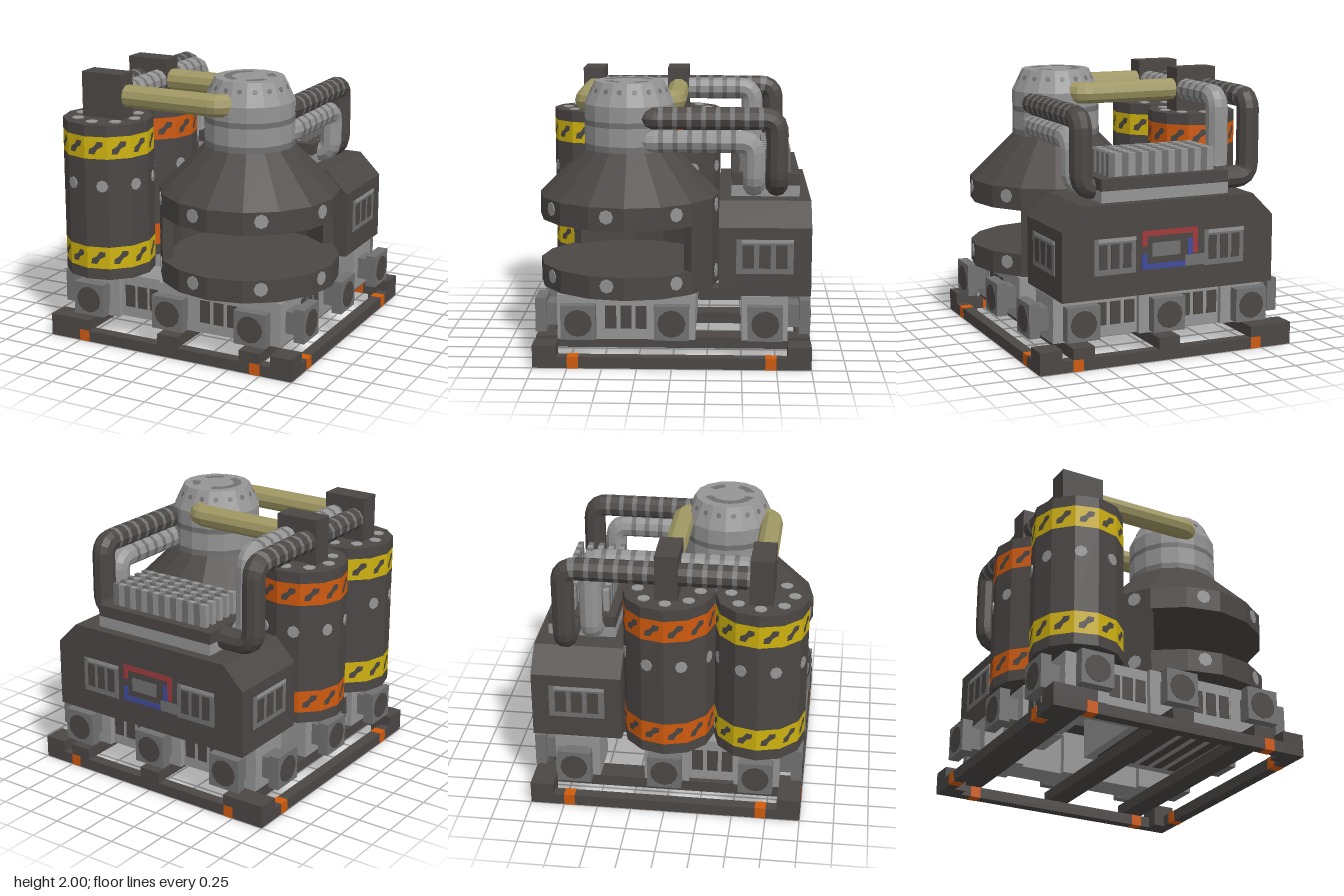
import * as THREE from 'three';

const mat = (name, color, side = THREE.FrontSide) => {
  const m = new THREE.MeshStandardMaterial({ color, side, flatShading: true });
  m.name = name;
  return m;
};

export function createModel() {
  const model = new THREE.Group();
  const dark = mat('dark iron', 0x4b4745), light = mat('light steel', 0x959595), mid = mat('mid steel', 0x717171);
  const yellow = mat('hazard yellow', 0xcfb20f), orange = mat('hazard orange', 0xd05a0e);
  const olive = mat('olive pipe', 0x9f9763), red = mat('red paint', 0xa03a3c), blue = mat('blue paint', 0x414c9c);

  const add = (name, geo, material, x = 0, y = 0, z = 0, parent = model) => {
    const m = new THREE.Mesh(geo, material);
    m.name = name;
    m.position.set(x, y, z);
    parent.add(m);
    return m;
  };
  // box given by its min and max on each axis
  const box = (name, material, x0, x1, y0, y1, z0, z1, parent = model) =>
    add(name, new THREE.BoxGeometry(x1 - x0, y1 - y0, z1 - z0), material,
      (x0 + x1) / 2, (y0 + y1) / 2, (z0 + z1) / 2, parent);
  const group = (name, x = 0, y = 0, z = 0, ry = 0, parent = model) => {
    const g = new THREE.Group();
    g.name = name;
    g.position.set(x, y, z);
    g.rotation.y = ry;
    parent.add(g);
    return g;
  };
  const drum = (name, material, r0, r1, y0, y1, sides, parent) =>
    add(name, new THREE.CylinderGeometry(r1, r0, y1 - y0, sides), material, 0, (y0 + y1) / 2, 0, parent);
  const disc = (r, t = 0.012, n = 8) => new THREE.CylinderGeometry(r, r, t, n).rotateX(Math.PI / 2);
  // distance from the axis to a polygon's side at angle a
  const sideDistance = (r, n, a) => {
    const step = 2 * Math.PI / n, off = ((a % step) + step) % step - step / 2;
    return r * Math.cos(step / 2) / Math.cos(off);
  };
  const bolts = (parent, r, n, y, first, size) => {
    for (let i = 0; i < 8; i++) {
      const a = first + i * Math.PI / 4, d = sideDistance(r, n, a);
      add('bolt', disc(size), light, d * Math.sin(a), y, d * Math.cos(a), parent).rotation.y = a;
    }
  };

  // Base frame: low perimeter rails, tall corners, cross beams, orange marks
  for (let i = 0; i < 4; i++) {
    const side = group('frameSide', 0, 0, 0, i * Math.PI / 2);
    box('rail', dark, -1, 0.917, 0, 0.083, 0.917, 1, side);
    box('corner', dark, 0.83, 1, 0, 0.167, 0.83, 1, side);
    for (const s of [-1, 1]) box('railMark', orange, s * 0.71 - 0.04, s * 0.71 + 0.04, -0.001, 0.085, 0.914, 1.002, side);
  }
  for (const x of [-0.75, 0, 0.667]) box('crossBeam', dark, x - 0.083, x + 0.083, 0.083, 0.167, -1, 1);

  // Pipe sockets, three on each side
  for (let i = 0; i < 4; i++) {
    const side = group('socketRow', 0, 0, 0, i * Math.PI / 2);
    for (const x of [-0.667, 0, 0.667]) {
      box('socketCube', light, x - 0.166, x + 0.166, 0.168, 0.498, 0.5, 0.832, side);
      box('socketNeck', mid, x - 0.083, x + 0.083, 0.25, 0.417, 0.83, 0.93, side);
      box('socketFlange', mid, x - 0.125, x + 0.125, 0.21, 0.46, 0.917, 0.997, side);
      add('socketHole', disc(0.1, 0.006, 12), dark, x, 0.333, 0.998, side);
    }
  }

  // Slotted plinths between the sockets
  const slots = (x0, x1, z, ry = 0) => {
    const g = group('slots', 0, 0, 0, ry);
    const n = Math.round((x1 - x0) / 0.115);
    for (let i = 0; i < n; i++) {
      const x = x0 + (i + 0.5) * (x1 - x0) / n;
      box('slot', dark, x - 0.04, x + 0.04, 0.25, 0.42, z - 0.003, z + 0.004, g);
    }
  };
  box('reactorPlinth', light, -0.166, 0.83, 0.17, 0.5, -0.166, 0.83);
  slots(0.17, 0.5, 0.832);
  slots(-0.5, -0.17, 0.832, Math.PI / 2);
  for (let i = 0; i < 7; i++) box('bottomSlot', dark, -0.1 + i * 0.12, -0.03 + i * 0.12, 0.165, 0.172, -0.08, 0.75);
  box('tankPlinth', light, -0.5, -0.166, 0.17, 0.5, 0.52, 0.79);
  slots(-0.48, -0.17, 0.792);
  box('tankPlinthSide', light, -0.79, -0.52, 0.17, 0.5, 0.166, 0.5);
  slots(0.17, 0.5, 0.792, -Math.PI / 2);
  box('backPlinth', light, -0.5, 0.5, 0.17, 0.5, -0.79, -0.55);
  slots(-0.5, -0.17, 0.792, Math.PI);
  slots(0.17, 0.5, 0.792, Math.PI);

  // Reactor: rings, open half wall, cone and capped neck
  const reactor = group('reactor', 0.333, 0, 0.333);
  drum('lowerRing', dark, 0.667, 0.667, 0.5, 0.667, 16, reactor);
  drum('upperRing', dark, 0.667, 0.667, 1, 1.167, 16, reactor);
  const arc = [...Array(9).keys()].map(i => Math.PI / 4 + i * Math.PI / 8);
  const ringPoint = r => a => new THREE.Vector2(r * Math.cos(a), r * Math.sin(a));
  const wall = new THREE.Shape([...arc.map(ringPoint(0.667)), ...arc.reverse().map(ringPoint(0.585))]);
  add('halfWall', new THREE.ExtrudeGeometry(wall, { depth: 0.335, bevelEnabled: false }).rotateX(-Math.PI / 2),
    dark, 0, 0.666, 0, reactor);
  drum('cone', dark, 0.667, 0.333, 1.167, 1.5, 16, reactor);
  for (const y of [0.6, 1.1]) bolts(reactor, 0.667, 16, y, Math.PI * 3 / 16, 0.052);
  [[mid, 1.5, 1.545], [light, 1.545, 1.68], [mid, 1.68, 1.72], [light, 1.72, 1.833]].forEach(
    ([m, y0, y1]) => drum('neckBand', m, 0.333, 0.333, y0, y1, 16, reactor));
  drum('cap', light, 0.333, 0.255, 1.833, 1.997, 16, reactor);
  for (let i = 0; i < 16; i++) {
    const a = (i + 0.5) * Math.PI / 8;
    const rivet = add('capRivet', disc(0.02, 0.008, 6), mid, 0.278 * Math.sin(a), 1.935, 0.278 * Math.cos(a), reactor);
    rivet.rotation.set(-0.43, a, 0, 'YXZ');
  }
  for (const [start, length] of [[1.9, 2.6], [5, 0.9], [0.3, 0.7]])
    add('capPatch', new THREE.RingGeometry(0.13, 0.19, 10, 1, start, length).rotateX(-Math.PI / 2), mid, 0, 1.999, 0, reactor);

  // Tanks with hazard bands, bolts and top blocks
  const stripe = new THREE.ShapeGeometry(new THREE.Shape([
    [-0.055, -0.045], [-0.012, -0.048], [0.012, -0.008], [0.052, 0.012], [0.055, 0.045],
    [0.012, 0.048], [-0.012, 0.012], [-0.05, -0.008]].map(p => new THREE.Vector2(...p))));
  for (const [z, paint] of [[0.667, yellow], [0, orange]]) {
    const tank = group('tank', -0.667, 0, z);
    let y = 0.5;
    [[dark, 0.583], [paint, 0.75], [dark, 1.417], [paint, 1.583], [dark, 1.667]].forEach(([m, top]) => {
      drum(m === dark ? 'tankShell' : 'hazardBand', m, 0.333, 0.333, y, top, 12, tank);
      y = top;
    });
    for (const by of [0.667, 1.5]) for (let i = 0; i < 12; i++) {
      const a = (i + 0.5) * Math.PI / 6, d = 0.333 * Math.cos(Math.PI / 12) + 0.003;
      add('hazardStripe', stripe, dark, d * Math.sin(a), by, d * Math.cos(a), tank).rotation.y = a;
    }
    bolts(tank, 0.333, 12, 1.215, Math.PI / 8, 0.045);
    for (let i = 0; i < 8; i++) {
      const a = i * Math.PI / 4;
      add('topBolt', new THREE.CylinderGeometry(0.045, 0.045, 0.012, 8), light,
        0.225 * Math.sin(a), 1.668, 0.225 * Math.cos(a), tank);
    }
    box('topBlock', dark, -0.166, 0.166, 1.66, 2, -0.083, 0.083, tank);
  }

  // Building at the back with chamfered upper corners
  const outline = new THREE.Shape([[-0.83, 0.5], [0.83, 0.5], [0.83, 1], [0.663, 1.167], [-0.663, 1.167], [-0.83, 1]]
    .map(p => new THREE.Vector2(...p)));
  add('building', new THREE.ExtrudeGeometry(outline, { depth: 0.663, bevelEnabled: false }), dark, 0, 0, -0.997);
  box('roofStep', light, -0.5, 0.5, 1.165, 1.25, -0.92, -0.42);
  box('roofSlab', dark, -0.5, 0.5, 1.25, 1.335, -0.92, -0.42);
  for (let r = 0; r < 5; r++) for (let i = 0; i < 16; i++) {
    const x = -0.416 + i * 0.052, z = -0.833 + r * 0.083;
    box('coolingFin', i % 2 ? mid : light, x, x + 0.052, 1.33, 1.5, z - 0.02, z + 0.02);
  }

  // Wall vents: plate with three dark slots, facing +z of their group
  const vent = (x, y, z, ry, w, h) => {
    const g = group('wallVent', x, y, z, ry);
    box('ventPlate', mid, -w / 2, w / 2, -h / 2, h / 2, -0.004, 0.004, g);
    for (const k of [-1, 0, 1])
      box('ventSlot', dark, k * w * 0.29 - w * 0.1, k * w * 0.29 + w * 0.1, -h * 0.34, h * 0.34, 0, 0.007, g);
    box('ventEdge', light, -w * 0.4, w / 2, h * 0.4, h / 2, 0, 0.006, g);
  };
  for (const s of [-1, 1]) {
    vent(s * 0.832, 0.79, -0.663, s * Math.PI / 2, 0.41, 0.25);
    vent(s * 0.43, 0.8, -0.999, Math.PI, 0.32, 0.26);
  }

  // Painted frame on the back wall
  const frame = group('paintedFrame', 0, 0.82, -0.998, Math.PI);
  box('redTop', red, -0.22, 0.22, 0.1, 0.14, -0.002, 0.003, frame);
  box('redLeft', red, -0.22, -0.18, 0.03, 0.1, -0.002, 0.003, frame);
  box('redRight', red, 0.18, 0.22, -0.05, 0.1, -0.002, 0.003, frame);
  box('blueBottom', blue, -0.22, 0.18, -0.14, -0.1, -0.002, 0.003, frame);
  box('blueLeft', blue, -0.22, -0.18, -0.1, -0.03, -0.002, 0.003, frame);
  box('blueRight', blue, 0.14, 0.18, -0.1, 0.06, -0.002, 0.003, frame);
  box('greyPatch', mid, -0.14, 0.08, -0.05, 0.05, -0.002, 0.003, frame);
  box('greyPatchLow', mid, 0.12, 0.28, -0.14, -0.06, -0.001, 0.005, frame);

  // Pipes: straight runs joined by rounded corners, ringed on the runs along z
  const pipe = (name, points, main, ring) => {
    const p = points.map(q => new THREE.Vector3(...q)), path = new THREE.CurvePath();
    let from = p[0];
    for (let i = 1; i < p.length - 1; i++) {
      const toward = q => p[i].clone().add(q.clone().sub(p[i]).clampLength(0, 0.1));
      const a = toward(p[i - 1]), b = toward(p[i + 1]);
      path.add(new THREE.LineCurve3(from, a));
      path.add(new THREE.QuadraticBezierCurve3(a, p[i], b));
      from = b;
    }
    path.add(new THREE.LineCurve3(from, p[p.length - 1]));
    const n = Math.ceil(path.getLength() / 0.035), geo = new THREE.TubeGeometry(path, n, 0.083, 10, false);
    for (let j = 0; j < n; j++) {
      const run = Math.abs(path.getTangentAt((j + 0.5) / n).z) > 0.98;
      geo.addGroup(j * 60, 60, run && j % 3 === 2 ? 1 : 0);
    }
    add(name, geo, [main, ring]);
  };
  for (const s of [-1, 1])
    pipe('olivePipe', [[-0.52, 1.833, 0.333 + s * 0.333], [0.29, 1.833, 0.333 + s * 0.333], [0.29, 1.833, 0.333 + s * 0.15]], olive, olive);
  pipe('rightDarkPipe', [[0.4, 1.75, 0.24], [0.583, 1.75, 0.24], [0.583, 1.75, -0.75], [0.583, 1.253, -0.75], [0.45, 1.253, -0.75]], dark, mid);
  pipe('rightLightPipe', [[0.4, 1.583, 0.24], [0.583, 1.583, 0.24], [0.583, 1.583, -0.583], [0.583, 1.253, -0.583], [0.45, 1.253, -0.583]], light, mid);
  pipe('leftDarkPipe', [[-0.75, 1.833, 0.667], [-0.75, 1.833, -0.75], [-0.75, 1.253, -0.75], [-0.45, 1.253, -0.75]], dark, mid);
  pipe('leftLightPipe', [[-0.583, 1.833, 0.667], [-0.583, 1.833, -0.583], [-0.583, 1.253, -0.583], [-0.45, 1.253, -0.583]], light, mid);

  return model;
}
